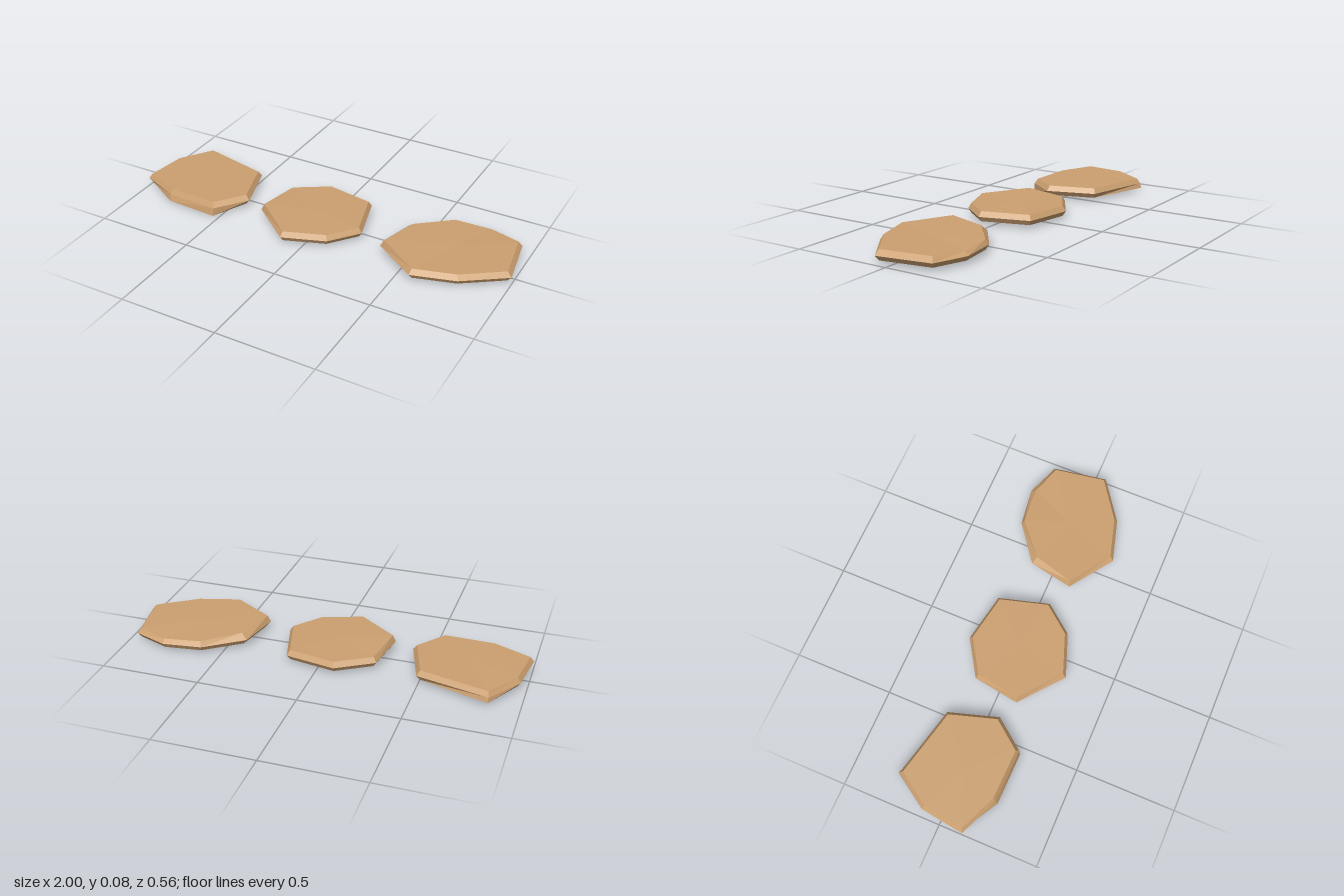
import * as THREE from 'three';

const BOTTOM = 0.018, MIDDLE = 0.043, TOP = 0.069, INSET = 0.935;

// Widest outline of each slab as [x, z]; top and bottom list corners that are moved, as index: [x, y, z]
const slabs = [
  {
    name: 'rightSlab',
    outline: [[-0.85, -0.272], [-0.49, -0.187], [-0.413, 0.06], [-0.53, 0.212], [-0.8, 0.205], [-1, 0.12], [-0.97, -0.1]],
    top: { 0: [-0.845, 0.068, -0.255] },
    bottom: { 0: [-0.85, BOTTOM, -0.28], 3: [-0.535, 0, 0.218], 4: [-0.8, 0.01, 0.215] },
  },
  {
    name: 'middleSlab',
    outline: [[-0.277, -0.13], [-0.095, -0.243], [0.158, -0.197], [0.23, 0.056], [0.115, 0.2], [-0.1, 0.278], [-0.313, 0.104]],
    top: { 6: [-0.297, 0.078, 0.1] },
    bottom: {},
  },
  {
    name: 'leftSlab',
    outline: [[0.402, -0.115], [0.59, -0.254], [0.785, -0.28], [0.954, -0.217], [1, 0.056], [0.794, 0.2], [0.577, 0.262], [0.356, 0.11]],
    top: { 0: [0.432, 0.072, -0.1], 2: [0.783, 0.061, -0.257], 7: [0.373, 0.077, 0.104] },
    bottom: {},
  },
];

function centreOf(ring) {
  return [0, 1, 2].map((k) => ring.reduce((sum, p) => sum + p[k], 0) / ring.length);
}

// Three rings joined by a bevel above and below, closed with flat caps
function slabGeometry({ outline, top, bottom }) {
  const middle = outline.map(([x, z]) => [x, MIDDLE, z]);
  const [cx, , cz] = centreOf(middle);
  const inset = (y, moved) => outline.map(([x, z], i) =>
    moved[i] || [cx + (x - cx) * INSET, y, cz + (z - cz) * INSET]);
  const upper = inset(TOP, top);
  const lower = inset(BOTTOM, bottom);
  const upperCentre = centreOf(upper);
  const lowerCentre = centreOf(lower);
  const positions = [];
  const triangle = (a, b, c) => positions.push(...a, ...b, ...c);

  for (let i = 0; i < outline.length; i++) {
    const j = (i + 1) % outline.length;
    for (const [low, high] of [[lower, middle], [middle, upper]]) {
      triangle(low[j], low[i], high[i]);
      triangle(low[j], high[i], high[j]);
    }
    triangle(upperCentre, upper[j], upper[i]);
    triangle(lowerCentre, lower[i], lower[j]);
  }

  const geometry = new THREE.BufferGeometry();
  geometry.setAttribute('position', new THREE.Float32BufferAttribute(positions, 3));
  geometry.computeVertexNormals();
  return geometry;
}

export function createModel() {
  const group = new THREE.Group();
  group.name = 'steppingStones';
  const stone = new THREE.MeshStandardMaterial({ color: 0xcca070, flatShading: true });
  for (const slab of slabs) {
    const mesh = new THREE.Mesh(slabGeometry(slab), stone);
    mesh.name = slab.name;
    group.add(mesh);
  }
  return group;
}
